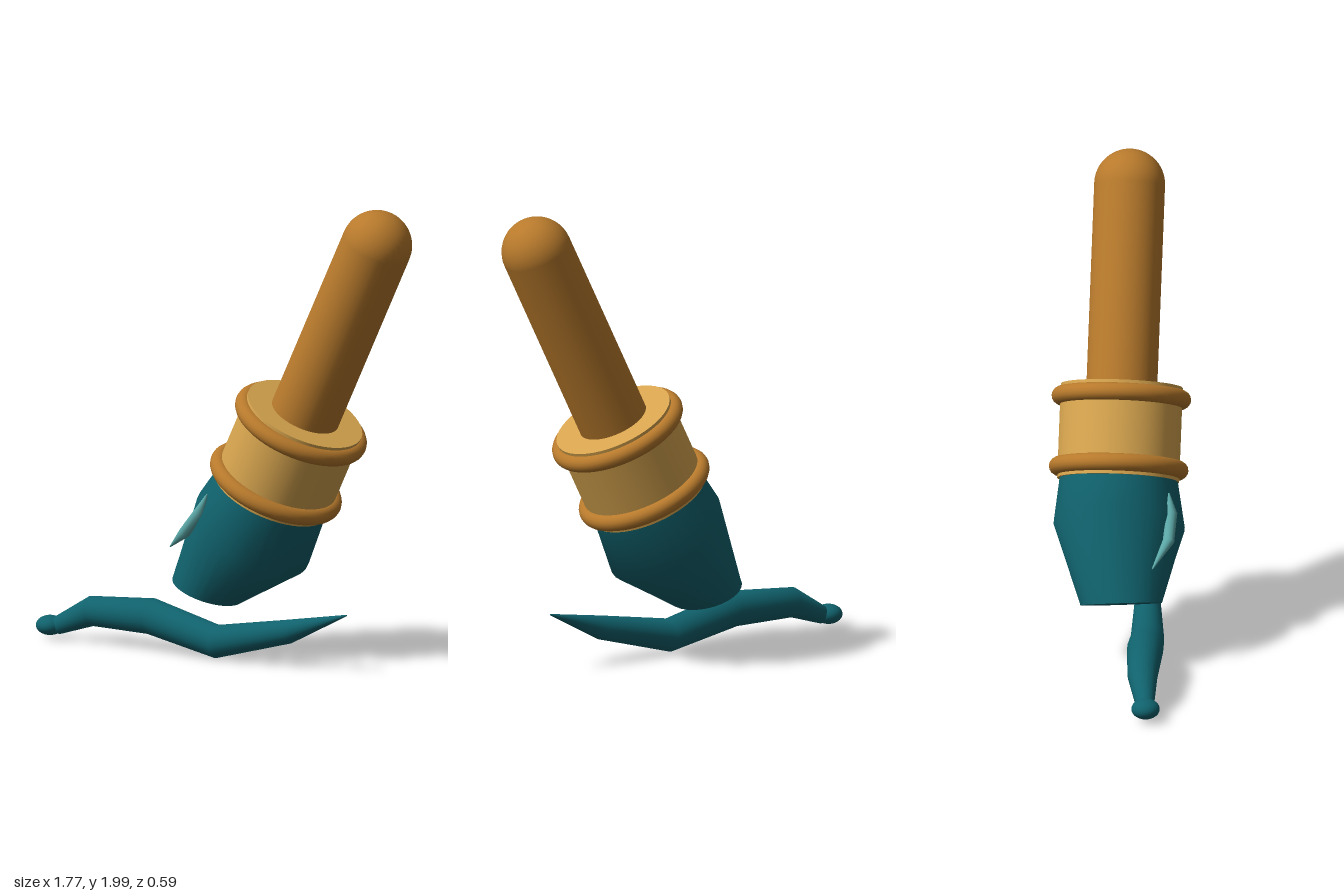
import * as THREE from 'three';

const mat = (name, color) => Object.assign(new THREE.MeshStandardMaterial({ color }), { name });

const V = (x, y, z) => new THREE.Vector3(x, y, z);

// Closed loft through elliptical sections { c: centre, u, v: half axes }, with flat end caps
function loft(sections, sides = 24) {
  const pos = [], idx = [];
  const addRing = ({ c, u, v }) => {
    const start = pos.length / 3;
    for (let j = 0; j < sides; j++) {
      const a = (j / sides) * Math.PI * 2;
      const p = c.clone().addScaledVector(u, Math.cos(a)).addScaledVector(v, Math.sin(a));
      pos.push(p.x, p.y, p.z);
    }
    return start;
  };
  const starts = sections.map(addRing);
  for (let i = 0; i < starts.length - 1; i++) {
    for (let j = 0; j < sides; j++) {
      const k = (j + 1) % sides, a = starts[i], b = starts[i + 1];
      idx.push(a + j, a + k, b + j, a + k, b + k, b + j);
    }
  }
  // caps use their own vertices so the rims stay sharp
  [sections[0], sections.at(-1)].forEach((s, end) => {
    const r = addRing(s), m = pos.length / 3;
    pos.push(s.c.x, s.c.y, s.c.z);
    for (let j = 0; j < sides; j++) {
      const k = (j + 1) % sides;
      idx.push(m, r + (end ? j : k), r + (end ? k : j));
    }
  });
  const g = new THREE.BufferGeometry();
  g.setAttribute('position', new THREE.Float32BufferAttribute(pos, 3));
  g.setIndex(idx);
  g.computeVertexNormals();
  return g;
}

// Tapered round strand through points [x, y, z, radius]
function strand(points, sides) {
  const c = points.map(([x, y, z]) => V(x, y, z));
  return loft(points.map((p, i) => {
    const t = c[Math.min(i + 1, c.length - 1)].clone().sub(c[Math.max(i - 1, 0)]).normalize();
    const u = V(-t.y, t.x, 0).normalize();
    const v = t.clone().cross(u);
    return { c: c[i], u: u.multiplyScalar(p[3]), v: v.multiplyScalar(p[3]) };
  }), sides);
}

export function createModel() {
  const model = new THREE.Group();
  model.name = 'paintbrushWithStroke';
  const wood = mat('wood brown', 0xb87a2c);
  const brass = mat('brass', 0xd6a44e);
  const paint = mat('teal paint', 0x10626d);
  const shine = mat('light teal', 0x5ca8a8);

  const add = (parent, name, geometry, material) => {
    const mesh = new THREE.Mesh(geometry, material);
    mesh.name = name;
    parent.add(mesh);
    return mesh;
  };

  // Handle and ferrule share one leaning axis
  const shaft = new THREE.Group();
  shaft.name = 'shaft';
  shaft.position.set(0.272, 0.9, 0);
  shaft.rotation.z = -THREE.MathUtils.degToRad(26);
  model.add(shaft);

  add(shaft, 'ferrule', new THREE.CylinderGeometry(0.258, 0.258, 0.4, 48), brass);
  add(shaft, 'handle', new THREE.CapsuleGeometry(0.15, 0.957, 12, 40), wood).position.y = 0.5785;
  for (const [name, y] of [['upperRing', 0.15], ['lowerRing', -0.15]]) {
    const ring = add(shaft, name, new THREE.TorusGeometry(0.258, 0.037, 16, 56), wood);
    ring.rotation.x = Math.PI / 2;
    ring.position.y = y;
  }

  // Bristle tuft, bending towards the stroke and cut flat at the tip
  add(model, 'bristles', loft([
    { c: V(0.203, 0.755, 0), u: V(0.22, -0.107, 0), v: V(0, 0, 0.245) },
    { c: V(0.095, 0.548, 0.012), u: V(0.215, -0.172, 0), v: V(0, 0, 0.278) },
    { c: V(-0.122, 0.275, 0.04), u: V(0.138, -0.055, -0.03), v: V(0.03, 0, 0.17) },
  ], 32), paint);

  // Pale glint on the tuft
  add(model, 'bristleHighlight', strand([
    [0.015, 0.73, 0.23, 0.003],
    [-0.015, 0.65, 0.243, 0.025],
    [-0.095, 0.555, 0.238, 0.025],
    [-0.215, 0.47, 0.18, 0.003],
  ], 12), shine);

  // Wavy stroke of paint, ending in a droplet
  add(model, 'paintStroke', strand([
    [-0.795, 0.063, 0.2, 0.038],
    [-0.63, 0.142, 0.175, 0.064],
    [-0.33, 0.153, 0.16, 0.077],
    [0, 0.08, 0.14, 0.071],
    [0.355, 0.16, 0.11, 0.051],
    [0.628, 0.255, 0.068, 0.003],
  ], 24), paint);
  const drop = add(model, 'paintDrop', new THREE.SphereGeometry(0.06, 32, 20), paint);
  drop.position.set(-0.828, 0.063, 0.205);
  drop.scale.y = 0.7;

  return model;
}
